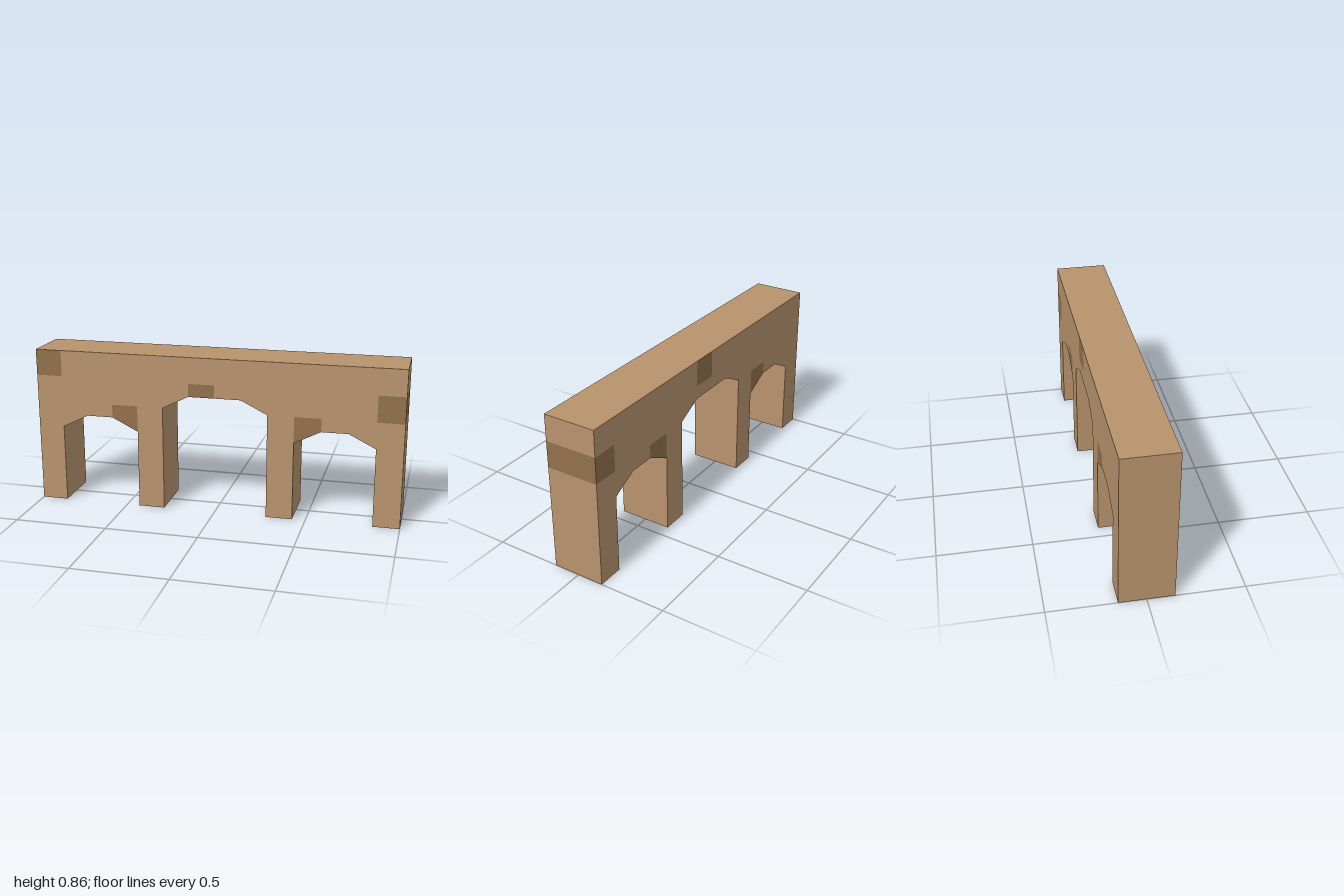
import * as THREE from 'three';

// One block unit: the wall is 14 units wide, 6 high and 2 deep
const U = 1 / 7, HALF = 7, TOP = 6;

// Height of the underside at the left and right edge of each one-unit column
const PILLAR = [0, 0];
const SIDE_ARCH = [[3, 3.5], [3.5, 3.5], [3.5, 3]];
const MID_ARCH = [[4, 4.5], [4.5, 4.5], [4.5, 4.5], [4.5, 4]];
const COLUMNS = [PILLAR, ...SIDE_ARCH, PILLAR, ...MID_ARCH, PILLAR, ...SIDE_ARCH, PILLAR];

// Darker bricks: left edge of the column -> bottom of the brick
const FRONT_BRICKS = { '-7': 5, '-4': 3, '-1': 4, '3': 3, '6': 4 };
const BACK_BRICKS = { '-4': 3, '0': 5, '3': 3, '6': 4 };

export function createModel() {
  const stone = new THREE.MeshStandardMaterial({ color: 0xb8936d, side: THREE.DoubleSide });
  stone.name = 'sandstone';
  const dark = new THREE.MeshStandardMaterial({ color: 0x92714c, side: THREE.DoubleSide });
  dark.name = 'dark sandstone';

  const parts = {};
  const quad = (part, corners, flip) => {
    const [a, b, c, d] = flip ? [...corners].reverse() : corners;
    (parts[part] ??= []).push(...[a, b, c, a, c, d].flat().map((v) => v * U));
  };

  // Upright piece of the front (z = 1) or back (z = -1) face
  const panel = (part, x, z, [l, r], [tl, tr]) =>
    quad(part, [[x, l, z], [x + 1, r, z], [x + 1, tr, z], [x, tl, z]], z < 0);

  // Upright piece facing +x (dir 1) or -x (dir -1)
  const side = (part, x, y0, y1, dir) =>
    quad(part, [[x, y0, 1], [x, y0, -1], [x, y1, -1], [x, y1, 1]], dir < 0);

  // Front and back faces with their inset bricks
  for (const [name, z, bricks] of [['front', 1, FRONT_BRICKS], ['back', -1, BACK_BRICKS]]) {
    COLUMNS.forEach((bottom, i) => {
      const x = i - HALF, y = bricks[x];
      if (y === undefined) {
        panel(name + 'Wall', x, z, bottom, [TOP, TOP]);
        return;
      }
      const low = bottom.map((b) => Math.max(b, y));
      if (low[0] > bottom[0] || low[1] > bottom[1]) panel(name + 'Wall', x, z, bottom, low);
      panel(name + 'Bricks', x, z, low, [y + 1, y + 1]);
      if (y + 1 < TOP) panel(name + 'Wall', x, z, [y + 1, y + 1], [TOP, TOP]);
    });
  }

  // Arch undersides and the inner pillar faces; pillars are open below
  COLUMNS.forEach(([l, r], i) => {
    const x = i - HALF;
    if (l > 0) quad('archUndersides', [[x, l, -1], [x + 1, r, -1], [x + 1, r, 1], [x, l, 1]]);
    if (i === 0) return;
    const before = COLUMNS[i - 1][1];
    if (before !== l) side('pillarSides', x, Math.min(before, l), Math.max(before, l), l > before ? 1 : -1);
  });

  // Flat top and the two ends, one of them with a brick course
  quad('top', [[-HALF, TOP, 1], [HALF, TOP, 1], [HALF, TOP, -1], [-HALF, TOP, -1]]);
  side('rightEnd', -HALF, 0, TOP, -1);
  side('leftEnd', HALF, 0, 4, 1);
  side('leftEndBricks', HALF, 4, 5, 1);
  side('leftEnd', HALF, 5, TOP, 1);

  const group = new THREE.Group();
  group.name = 'archedWall';
  for (const [name, points] of Object.entries(parts)) {
    const geometry = new THREE.BufferGeometry();
    geometry.setAttribute('position', new THREE.Float32BufferAttribute(points, 3));
    geometry.computeVertexNormals();
    const mesh = new THREE.Mesh(geometry, name.endsWith('Bricks') ? dark : stone);
    mesh.name = name;
    group.add(mesh);
  }
  return group;
}
